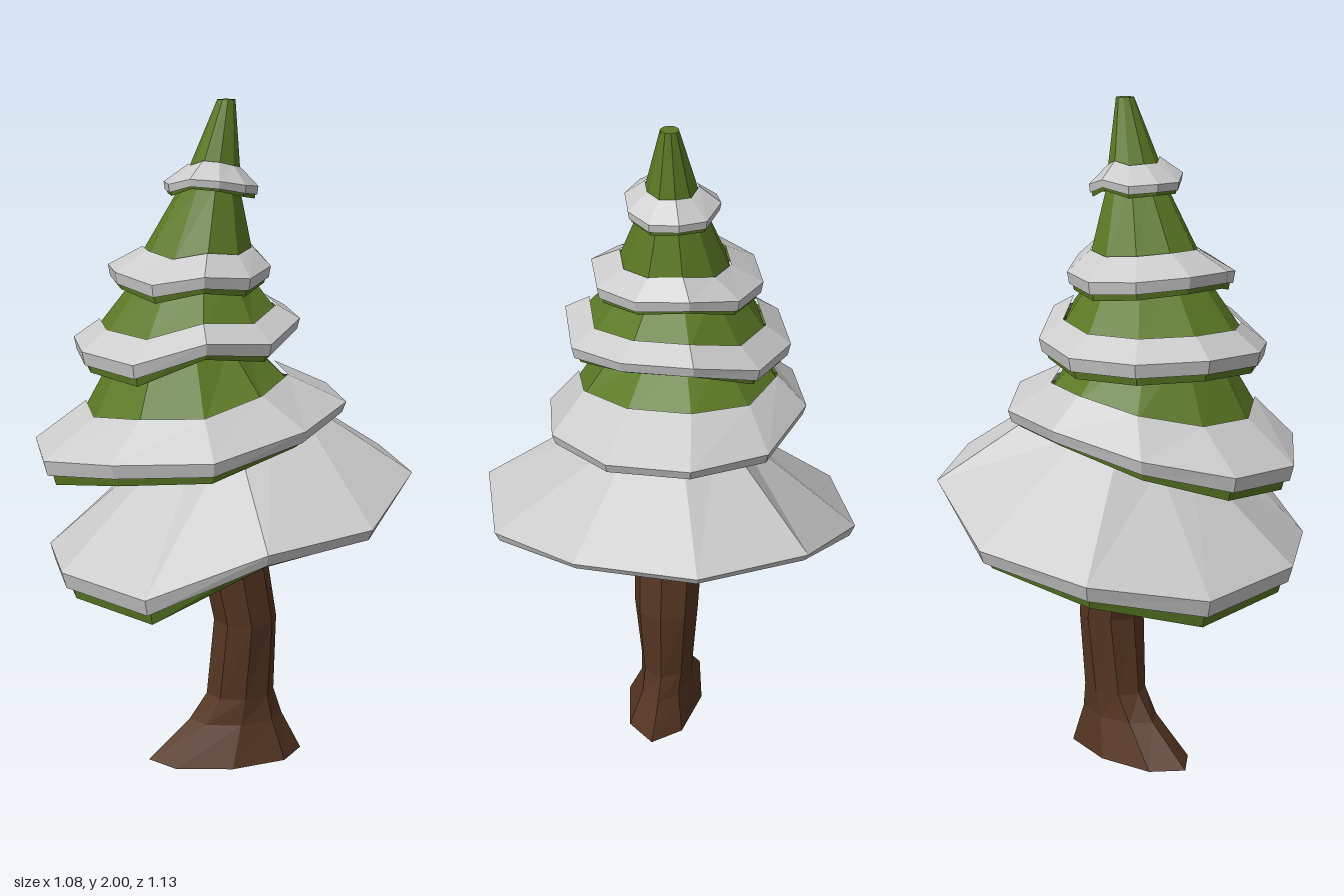
import * as THREE from 'three';

const material = (color) => new THREE.MeshStandardMaterial({ color, flatShading: true });

// One horizontal ring of points; lift holds an optional height offset per corner
function ring(x, y, z, rx, rz, n, lift = null, amount = 1) {
  return Array.from({ length: n }, (_, k) => {
    const a = (k / n) * Math.PI * 2;
    return new THREE.Vector3(x + Math.sin(a) * rx, y + (lift ? lift[k] * amount : 0), z + Math.cos(a) * rz);
  });
}

// Joins rings into bands: rising rings face outward, falling rings face inward
function loft(...strips) {
  const pos = [];
  const tri = (...pts) => pts.forEach((p) => pos.push(p.x, p.y, p.z));
  for (const rings of strips) {
    for (let i = 0; i < rings.length - 1; i++) {
      const a = rings[i], b = rings[i + 1], n = a.length;
      for (let k = 0; k < n; k++) {
        const m = (k + 1) % n;
        tri(a[k], a[m], b[m]);
        tri(a[k], b[m], b[k]);
      }
    }
  }
  const geometry = new THREE.BufferGeometry();
  geometry.setAttribute('position', new THREE.Float32BufferAttribute(pos, 3));
  geometry.computeVertexNormals();
  return geometry;
}

// Branch tiers: rim centre and radii, rim heights from the front corner round to the left,
// then [x, radius, y] of the snow's upper edge and of the top of the green cone
const TIERS = [
  { x: 0.02, rx: 0.547, rz: 0.565, rim: [0.815, 0.835, 0.915, 0.91, 0.885, 0.765, 0.71, 0.65, 0.67, 0.67],
    snow: [0, 0.2, 1.06], top: [-0.08, 0.15, 1.15] },
  { x: -0.095, rx: 0.468, rz: 0.39, rim: [1.03, 1.09, 1.125, 1.13, 1.1, 1.1, 1.05, 1, 0.99, 1.02],
    snow: [-0.105, 0.3, 1.17], top: [-0.11, 0.18, 1.32] },
  { x: -0.105, rx: 0.333, rz: 0.335, rim: [1.355, 1.335, 1.375, 1.38, 1.32, 1.3, 1.3, 1.305, 1.3, 1.29],
    snow: [-0.1, 0.26, 1.385], top: [-0.08, 0.15, 1.52] },
  { x: -0.095, rx: 0.237, rz: 0.25, rim: [1.525, 1.51, 1.525, 1.54, 1.51, 1.5, 1.51, 1.52, 1.52, 1.5],
    snow: [-0.07, 0.16, 1.58], top: [-0.03, 0.08, 1.77] },
  { x: -0.03, rx: 0.137, rz: 0.135, rim: [1.775, 1.76, 1.75, 1.755, 1.75, 1.77, 1.755, 1.76, 1.76, 1.78],
    snow: [-0.02, 0.075, 1.82], top: [0.015, 0.026, 2] },
];

function makeTier(tier, green, white) {
  const { x, rx, rz, rim, snow, top } = tier;
  const n = rim.length;
  const mean = rim.reduce((s, v) => s + v, 0) / n;
  const lift = rim.map((v) => v - mean);
  const edge = (scale, dy, amount = 1) => ring(x, mean + dy, 0, rx * scale, rz * scale, n, lift, amount);
  const upper = ([cx, r, y], amount) => ring(cx, y, 0, r, r, n, lift, amount);
  const drop = Math.min(0.048, 0.18 * rx);

  // Snow: underside, thin undercut rim and sloping top
  const snowMesh = new THREE.Mesh(loft([
    edge(0.77, 0.09 * rx), edge(0.975, -drop * 0.6, 1.1), edge(1, 0.008), upper(snow, 0.75),
  ]), white);
  snowMesh.name = 'snow';

  // Foliage: deep hollow inside, hanging fringe below the snow, cone above it
  const [tx, tr, ty] = top;
  const [sx, sr, sy] = snow;
  const foliage = new THREE.Mesh(loft(
    [upper([tx, tr * 0.92, ty - 0.015], 0), upper([sx, sr * 0.9, sy - 0.03], 0.75), edge(0.79, 0.08 * rx)],
    [edge(0.88, 0.05 * rx), edge(0.88, -drop * 0.7, 1.2), edge(0.92, -drop, 1.25), edge(0.955, -0.005)],
    [upper([sx, sr, sy - 0.015], 0.75), upper(top, 0)],
  ), green);
  foliage.name = 'foliage';

  const group = new THREE.Group();
  group.add(foliage, snowMesh);
  return group;
}

export function createModel() {
  const model = new THREE.Group();
  const green = material(0x5c7a25);
  const white = material(0xcccccc);

  // Bent trunk with flared foot: x, y, z, radius in x, radius in z
  const trunk = new THREE.Mesh(loft([
    [0.01, 0, 0.015, 0, 0],
    [0.01, 0, 0.015, 0.24, 0.12],
    [0.045, 0.12, 0.005, 0.145, 0.082],
    [0.06, 0.2, 0, 0.105, 0.082],
    [0.075, 0.44, 0, 0.097, 0.1],
    [0.035, 0.66, 0, 0.103, 0.107],
    [-0.01, 0.79, 0, 0.1, 0.11],
    [-0.06, 1.05, 0, 0.092, 0.095],
    [-0.09, 1.57, 0, 0.068, 0.068],
    [-0.09, 1.57, 0, 0, 0],
  ].map((r) => ring(...r, 8))), material(0x553522));
  trunk.name = 'trunk';
  model.add(trunk);

  TIERS.forEach((tier, i) => {
    const group = makeTier(tier, green, white);
    group.name = `branchTier${i + 1}`;
    model.add(group);
  });

  // Blunt tip closing the uppermost cone
  const tip = new THREE.Mesh(loft([ring(0.015, 2, 0, 0.026, 0.026, 10), ring(0.015, 2, 0, 0, 0, 10)]), green);
  tip.name = 'tip';
  model.add(tip);
  return model;
}
